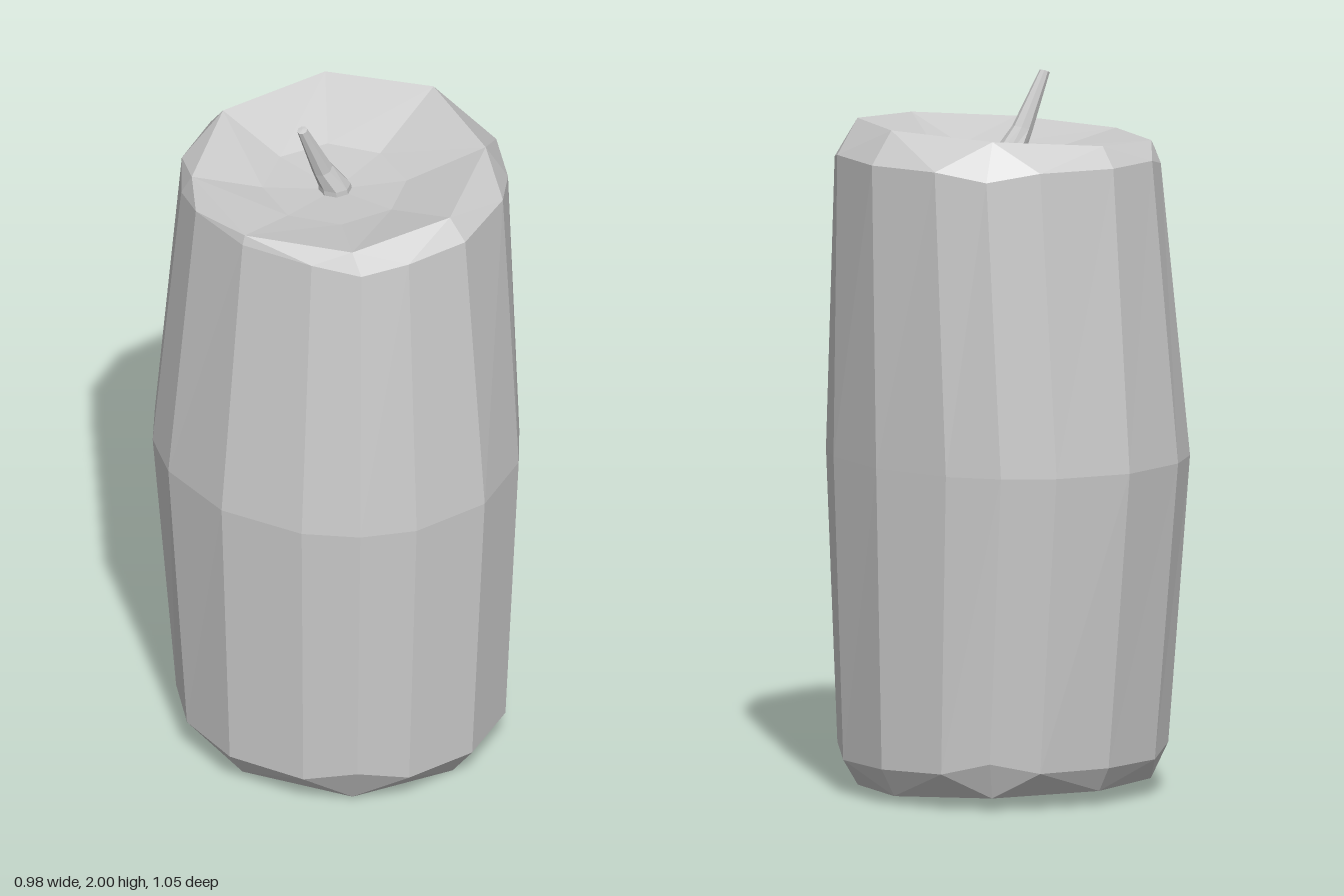
import * as THREE from 'three';

const DIAG = Math.PI / 4;
const SHIFT = THREE.MathUtils.degToRad(27); // corner angle between axis and diagonal

// Lopsided ring of 8 or 16 corners; separate reach to each side.
// yAt(x, z, isDiagonal) gives the height of each corner.
function ring(n, { right, left, front, back }, yAt) {
  const pts = [];
  for (let i = 0; i < n; i++) {
    const k = (i * 8) / n; // position in 45 degree steps
    const step = Math.floor(k);
    const split = k !== step;
    const toDiag = step % 2 === 0;
    const a = step * DIAG + (split ? (toDiag ? SHIFT : DIAG - SHIFT) : 0);
    const c = Math.cos(a), s = Math.sin(a);
    const x = c * (c > 0 ? right : left);
    const z = s * (s > 0 ? front + 0.01 : back - 0.01) - 0.01;
    pts.push(new THREE.Vector3(x, yAt(x, z, !split && !toDiag), z));
  }
  return pts;
}

// Joins two neighbouring rings; one may have twice the corners of the other,
// and a single point closes the shape as a fan.
function stitch(tris, lo, up) {
  const n = Math.min(...[lo.length, up.length].filter((l) => l > 1));
  const at = (r, i) => r[i % r.length];
  for (let i = 0; i < n; i++) {
    const j = 2 * i;
    if (lo.length === 1) tris.push(lo[0], at(up, i), at(up, i + 1));
    else if (up.length === 1) tris.push(at(lo, i), up[0], at(lo, i + 1));
    else if (lo.length === up.length) {
      tris.push(at(lo, i), at(up, i), at(lo, i + 1));
      tris.push(at(lo, i + 1), at(up, i), at(up, i + 1));
    } else if (lo.length < up.length) {
      tris.push(at(lo, i), at(up, j), at(up, j + 1));
      tris.push(at(lo, i), at(up, j + 1), at(lo, i + 1));
      tris.push(at(lo, i + 1), at(up, j + 1), at(up, j + 2));
    } else {
      tris.push(at(lo, j), at(up, i), at(lo, j + 1));
      tris.push(at(lo, j + 1), at(up, i), at(up, i + 1));
      tris.push(at(lo, j + 1), at(up, i + 1), at(lo, j + 2));
    }
  }
}

function loft(name, rings, material) {
  const tris = [];
  for (let i = 0; i + 1 < rings.length; i++) stitch(tris, rings[i], rings[i + 1]);
  const geometry = new THREE.BufferGeometry().setFromPoints(tris);
  geometry.computeVertexNormals();
  const mesh = new THREE.Mesh(geometry, material);
  mesh.name = name;
  return mesh;
}

export function createModel() {
  const group = new THREE.Group();
  group.name = 'candle';
  const material = new THREE.MeshStandardMaterial({ color: 0xcccccc, flatShading: true });

  // Wax body: base, chamfer, bulging sides, slanted rim and melted hollow
  const wax = [
    [new THREE.Vector3(0, 0.01, 0)],
    ring(8, { right: 0.41, left: 0.4, front: 0.41, back: 0.4 }, (x, z) => 0.021 - 0.05 * z),
    ring(16, { right: 0.455, left: 0.455, front: 0.48, back: 0.44 },
      (x, z, diag) => 0.1 - 0.02 * z + (diag ? 0.03 : 0)),
    ring(16, { right: 0.475, left: 0.49, front: 0.525, back: 0.53 }, () => 0.94),
    ring(16, { right: 0.49, left: 0.4, front: 0.455, back: 0.46 },
      (x, z, diag) => 1.782 + 0.01 * x - (diag ? 0.025 : 0)),
    ring(8, { right: 0.42, left: 0.39, front: 0.4, back: 0.415 }, (x) => 1.84 + 0.09 * x),
    ring(8, { right: 0.19, left: 0.205, front: 0.19, back: 0.21 }, () => 1.775),
    [new THREE.Vector3(0, 1.755, -0.01)],
  ];
  group.add(loft('waxBody', wax, material));

  // Wick: tapered and leaning to one side; each row is x, y, z, radius
  const wick = [
    [0, 1.74, -0.01, 0.048],
    [-0.005, 1.775, -0.01, 0.045],
    [-0.04, 1.84, -0.025, 0.028],
    [-0.108, 1.995, -0.04, 0.014],
  ].map(([cx, cy, cz, r], row) => Array.from({ length: 8 }, (_, i) => {
    const c = Math.cos(i * DIAG), s = Math.sin(i * DIAG);
    return new THREE.Vector3(cx + c * r, cy + (row > 1 ? 0.35 * c * r : 0), cz + s * r);
  }));
  wick.push([new THREE.Vector3(-0.108, 1.997, -0.04)]);
  group.add(loft('wick', wick, material));

  return group;
}
